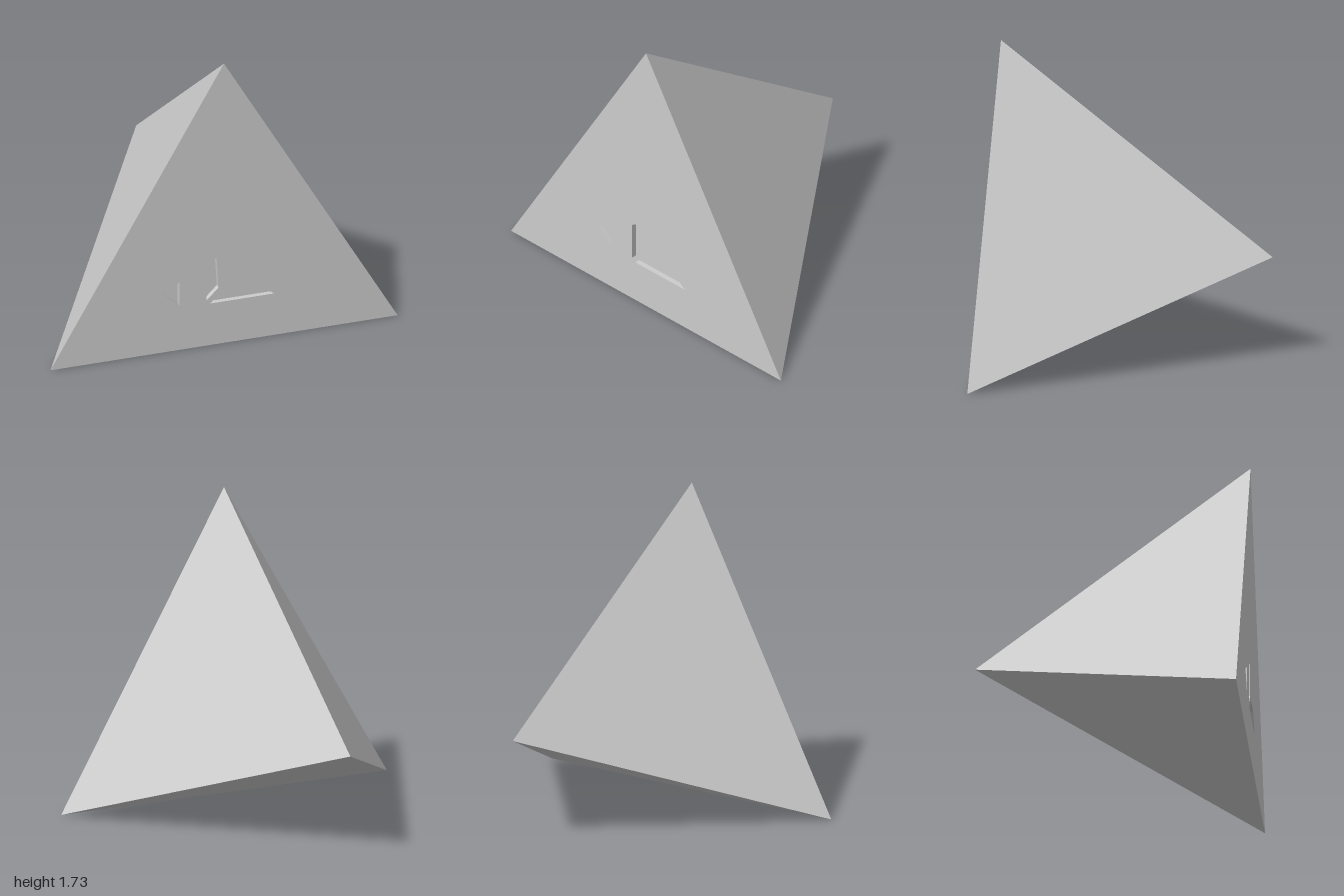
import * as THREE from 'three';

const FRONT = 0.755, DEPTH = 0.03;

export function createModel() {
  const group = new THREE.Group();
  const material = new THREE.MeshStandardMaterial({ color: 0xcccccc, flatShading: true });
  const add = (name, geometry) => {
    const mesh = new THREE.Mesh(geometry, material);
    mesh.name = name;
    group.add(mesh);
  };
  const fromTriangles = (points) => {
    const geometry = new THREE.BufferGeometry();
    geometry.setAttribute('position', new THREE.Float32BufferAttribute(points.flat(), 3));
    geometry.computeVertexNormals();
    return geometry;
  };
  const toShape = (pts) => new THREE.Shape(pts.map(([x, y]) => new THREE.Vector2(x, y)));

  // Outlines run counter-clockwise seen from the front
  const outline = [[-1, 0], [1, 0], [0, 1.732]];
  const recesses = {
    triangle: [[-0.353, 0.364], [-0.257, 0.273], [-0.257, 0.417]],
    upright: [[-0.102, 0.278], [-0.032, 0.348], [-0.043, 0.537], [-0.102, 0.503]],
    lower: [[-0.08, 0.257], [0.288, 0.257], [0.176, 0.352], [0.016, 0.352]],
  };

  // Front face with the recess openings
  const face = toShape(outline);
  face.holes = Object.values(recesses).map(toShape);
  add('frontFace', new THREE.ShapeGeometry(face).translate(0, 0, FRONT));

  // Three sloping faces meeting at the back point
  const tip = [0, 0.577, -FRONT];
  const sides = outline.flatMap((a, i) => {
    const b = outline[(i + 1) % 3];
    return [[...b, FRONT], [...a, FRONT], tip];
  });
  add('slopingFaces', fromTriangles(sides));

  // Shallow recesses: a floor and inward-facing walls
  for (const [name, pts] of Object.entries(recesses)) {
    const back = FRONT - DEPTH;
    add(name + 'RecessFloor', new THREE.ShapeGeometry(toShape(pts)).translate(0, 0, back));
    const walls = pts.flatMap((a, i) => {
      const b = pts[(i + 1) % pts.length];
      const a0 = [...a, FRONT], b0 = [...b, FRONT], a1 = [...a, back], b1 = [...b, back];
      return [a0, b0, b1, a0, b1, a1];
    });
    add(name + 'RecessWalls', fromTriangles(walls));
  }
  return group;
}
